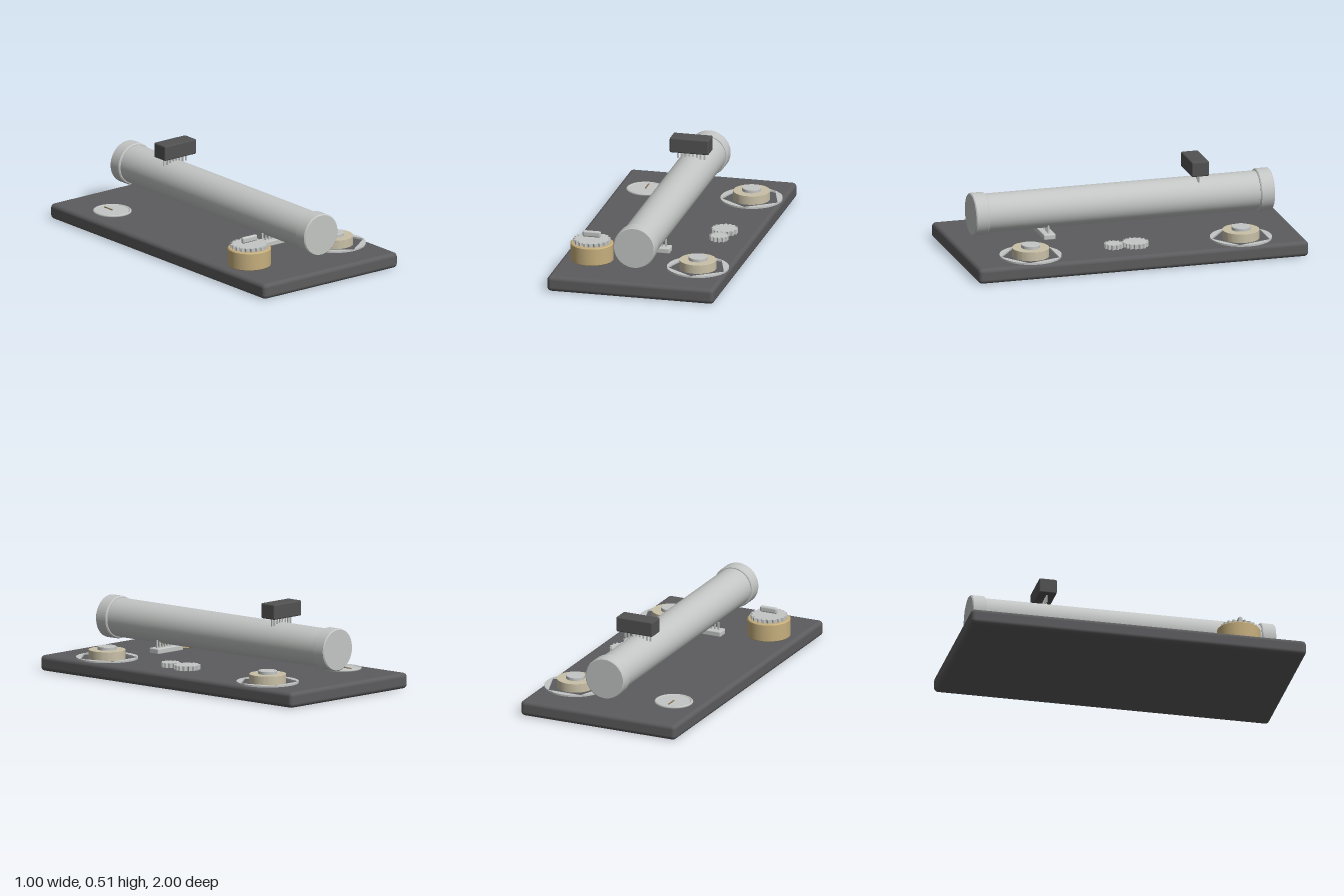
import * as THREE from 'three';
import { RoundedBoxGeometry } from 'three/addons/geometries/RoundedBoxGeometry.js';
import { toCreasedNormals } from 'three/addons/utils/BufferGeometryUtils.js';

const material = (name, color) => {
  const m = new THREE.MeshStandardMaterial({ color });
  m.name = name;
  return m;
};

export function createModel() {
  const charcoal = material('charcoal', 0x5c5c5e);
  const darkGrip = material('dark grip', 0x525253);
  const steel = material('steel', 0xc3c6c4);
  const brass = material('brass', 0xc6af7e);
  const paleBrass = material('pale brass', 0xc9c0a7);
  const needleBrown = material('needle brown', 0x8c7a55);

  const model = new THREE.Group();
  model.name = 'mechanism';

  const add = (name, geometry, mat, x, y, z, parent = model) => {
    const mesh = new THREE.Mesh(geometry, mat);
    mesh.name = name;
    mesh.position.set(x, y, z);
    parent.add(mesh);
    return mesh;
  };
  const box = (w, h, d, r) => new RoundedBoxGeometry(w, h, d, 3, r);

  // Upright disc with bevelled rims, standing on y = 0
  const disc = (r, h, b) => toCreasedNormals(new THREE.LatheGeometry([
    [0, 0], [r - b, 0], [r, b], [r, h - b], [r - b, h], [0, h],
  ].map(([x, y]) => new THREE.Vector2(x, y)), 64), 0.5);

  // Flat toothed wheel, standing on y = 0
  const gear = (outer, root, teeth, h) => {
    const shape = new THREE.Shape();
    const step = (Math.PI * 2) / teeth;
    for (let i = 0; i < teeth; i++) {
      [[0, root], [0.25, outer], [0.55, outer], [0.8, root]].forEach(([f, r], k) => {
        const a = (i + f) * step;
        const x = Math.cos(a) * r, y = Math.sin(a) * r;
        if (i === 0 && k === 0) shape.moveTo(x, y);
        else shape.lineTo(x, y);
      });
    }
    shape.closePath();
    return new THREE.ExtrudeGeometry(shape, { depth: h, bevelEnabled: false }).rotateX(-Math.PI / 2);
  };

  // Base plate
  add('basePlate', box(1, 0.092, 2, 0.025), charcoal, 0, 0.046, 0);

  // Long barrel with a cap at each end
  const barrel = new THREE.Group();
  barrel.name = 'barrel';
  barrel.position.y = 0.275;
  model.add(barrel);
  add('barrelTube', new THREE.CylinderGeometry(0.114, 0.114, 1.66, 64).rotateX(Math.PI / 2), steel, 0, 0, 0, barrel);
  for (const s of [-1, 1]) {
    add('barrelCap', disc(0.125, 0.085, 0.006).rotateX(Math.PI / 2), steel, 0, 0, s * 0.863 - 0.0425, barrel);
  }

  // Row of fine comb teeth
  const comb = (name, y0, y1, z) => {
    const group = new THREE.Group();
    group.name = name;
    model.add(group);
    const tooth = new THREE.BoxGeometry(0.009, y1 - y0, 0.008);
    for (let i = 0; i < 8; i++) {
      add('tooth', tooth, steel, (i - 3.5) * 0.0228, (y0 + y1) / 2, z, group);
    }
  };

  // Upper comb with dark grip, lower comb with steel bar
  add('upperGrip', box(0.234, 0.09, 0.105, 0.008), darkGrip, 0, 0.465, -0.455);
  comb('upperComb', 0.374, 0.425, -0.455);
  add('lowerBar', box(0.218, 0.034, 0.072, 0.007), steel, 0, 0.128, 0.457);
  comb('lowerComb', 0.14, 0.19, 0.457);

  // Spring drum with ratchet wheel and winding key
  add('springDrum', disc(0.126, 0.11, 0.006), brass, -0.32, 0.09, 0.635);
  add('ratchetWheel', gear(0.109, 0.096, 20, 0.02), steel, -0.32, 0.2, 0.635);
  add('windingKey', box(0.108, 0.036, 0.026, 0.01), steel, -0.32, 0.248, 0.635);

  // Gauge with rim and needle
  add('gaugeFace', disc(0.104, 0.014, 0.002), steel, -0.32, 0.09, -0.64);
  add('gaugeRim', new THREE.TorusGeometry(0.105, 0.008, 10, 64).rotateX(Math.PI / 2), steel, -0.32, 0.1, -0.64);
  add('gaugeNeedle', new THREE.BoxGeometry(0.008, 0.004, 0.075), needleBrown, -0.32, 0.106, -0.675);

  // Two hubs, each inside a thin ring with a five-sided opening
  const ring = new THREE.Shape().absarc(0, 0, 0.181, 0, Math.PI * 2, false);
  const opening = new THREE.Path();
  for (let i = 0; i < 5; i++) {
    const a = -Math.PI / 2 - (i * Math.PI * 2) / 5;
    const x = Math.cos(a) * 0.179, y = Math.sin(a) * 0.179;
    if (i === 0) opening.moveTo(x, y);
    else opening.lineTo(x, y);
  }
  opening.closePath();
  ring.holes.push(opening);
  const ringGeometry = toCreasedNormals(new THREE.ExtrudeGeometry(ring, {
    depth: 0.01, bevelEnabled: false, curveSegments: 64,
  }).rotateX(-Math.PI / 2), 0.5);
  for (const z of [-0.64, 0.635]) {
    const hub = new THREE.Group();
    hub.name = 'hub';
    hub.position.set(0.316, 0, z);
    model.add(hub);
    add('hubRing', ringGeometry, steel, 0, 0.092, 0, hub);
    add('hubDrum', disc(0.108, 0.055, 0.001), paleBrass, 0, 0.09, 0, hub);
    add('hubButton', disc(0.055, 0.024, 0.002), steel, 0, 0.14, 0, hub);
  }

  // Meshing gear pair
  add('largeGear', gear(0.078, 0.067, 16, 0.027), steel, 0.316, 0.099, 0);
  add('smallGear', gear(0.056, 0.046, 12, 0.027), steel, 0.316, 0.099, 0.132);

  return model;
}
